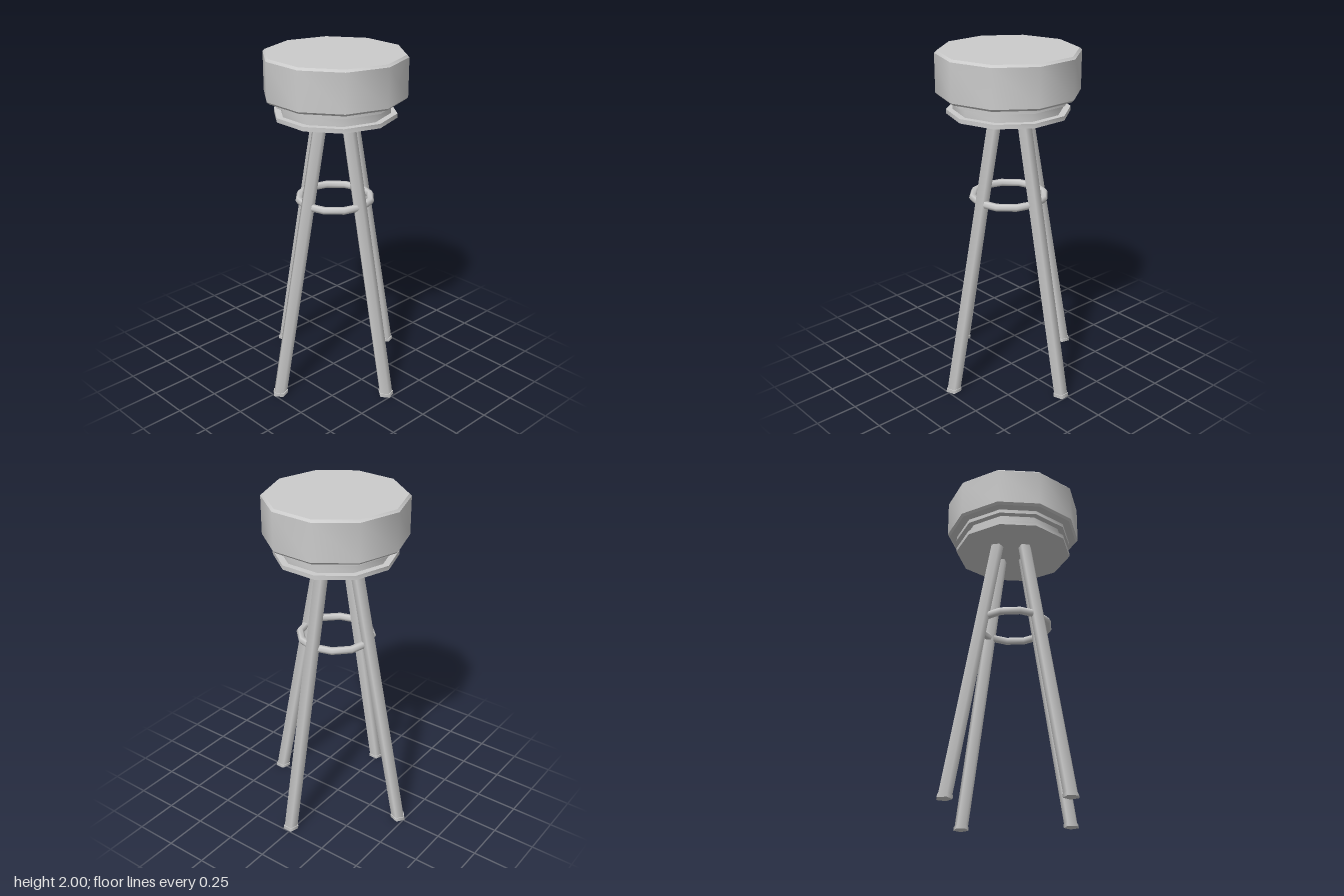
import * as THREE from 'three';
import { toCreasedNormals } from 'three/addons/utils/BufferGeometryUtils.js';

const CX = -0.006, CZ = 0.017; // stool axis
const material = new THREE.MeshStandardMaterial({ color: 0xcccccc });

function add(parent, name, geometry) {
  const mesh = new THREE.Mesh(geometry, material);
  mesh.name = name;
  parent.add(mesh);
  return mesh;
}

// Ten-sided turned part from [radius, y] pairs, bottom to top
function turned(points) {
  const profile = points.map(([r, y]) => new THREE.Vector2(r, y));
  return toCreasedNormals(new THREE.LatheGeometry(profile, 10), 0.7);
}

// Five-sided bar with level ends, leaning from point a up to point b
function leaningBar(a, b, radius, thetaStart) {
  const height = b.y - a.y;
  const geo = new THREE.CylinderGeometry(radius, radius, height, 5, 1, false, thetaStart);
  const pos = geo.attributes.position;
  for (let i = 0; i < pos.count; i++) {
    const t = pos.getY(i) / height + 0.5;
    pos.setXYZ(i,
      pos.getX(i) + THREE.MathUtils.lerp(a.x, b.x, t),
      pos.getY(i) + (a.y + b.y) / 2,
      pos.getZ(i) + THREE.MathUtils.lerp(a.z, b.z, t));
  }
  return geo;
}

export function createModel() {
  const stool = new THREE.Group();
  stool.name = 'barStool';

  // Cushion with narrow bevels, a short swivel neck and a spool-shaped base
  const top = new THREE.Group();
  top.name = 'seat';
  top.position.set(CX, 0, CZ);
  stool.add(top);
  add(top, 'cushion', turned([
    [0, 1.753], [0.395, 1.753], [0.408, 1.766], [0.408, 1.987], [0.395, 2], [0, 2],
  ]));
  add(top, 'swivelNeck', turned([[0.115, 1.74], [0.115, 1.757]]));
  add(top, 'seatBase', turned([
    [0, 1.645], [0.352, 1.645], [0.352, 1.67], [0.315, 1.67], [0.315, 1.725],
    [0.352, 1.725], [0.352, 1.747], [0, 1.747],
  ]));

  // Four splayed legs, each with a wider foot
  const legs = [
    ['leftLeg', 1, 0, -Math.PI / 2],
    ['rightLeg', -1, 0, -Math.PI / 2],
    ['frontLeg', 0, 1, -Math.PI / 2],
    ['backLeg', 0, -1, Math.PI],
  ];
  for (const [name, dx, dz, turn] of legs) {
    const at = (y) => {
      const reach = 0.46 - 0.209 * y;
      return new THREE.Vector3(dx ? dx * reach : CX, y, dz ? dz * reach : CZ);
    };
    const leg = new THREE.Group();
    leg.name = name;
    stool.add(leg);
    add(leg, 'shaft', leaningBar(at(0.01), at(1.66), 0.041, turn));
    add(leg, 'foot', leaningBar(at(0), at(0.02), 0.046, turn));
  }

  // Foot ring joining the legs
  const ring = add(stool, 'footRing', new THREE.TorusGeometry(0.212, 0.022, 6, 12));
  ring.rotation.x = Math.PI / 2;
  ring.position.set(CX, 1.144, CZ);

  return stool;
}
